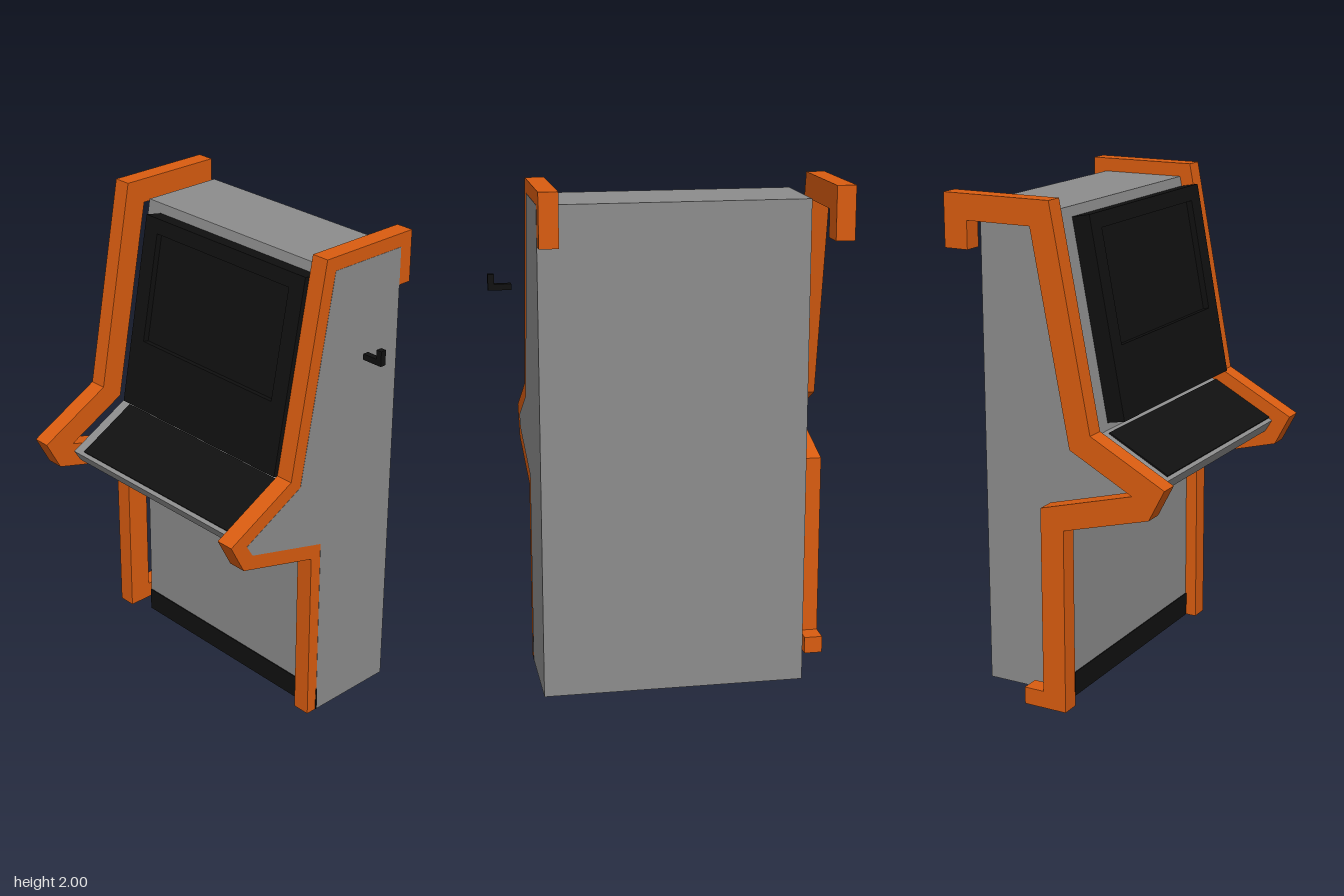
import * as THREE from 'three';

const mat = (name, color) => {
  const m = new THREE.MeshStandardMaterial({ color });
  m.name = name;
  return m;
};

export function createModel() {
  const root = new THREE.Group();
  root.name = 'arcadeCabinet';
  const grey = mat('cabinet grey', 0x8c8c8c);
  const orange = mat('trim orange', 0xd95c10);
  const black = mat('panel black', 0x101010);

  const add = (parent, name, geo, material) => {
    const m = new THREE.Mesh(geo, material);
    m.name = name;
    parent.add(m);
    return m;
  };
  const box = (parent, name, material, x0, x1, y0, y1, z0, z1) => {
    const m = add(parent, name, new THREE.BoxGeometry(x1 - x0, y1 - y0, z1 - z0), material);
    m.position.set((x0 + x1) / 2, (y0 + y1) / 2, (z0 + z1) / 2);
    return m;
  };
  const shapeOf = (pts) => new THREE.Shape(pts.map(([a, b]) => new THREE.Vector2(a, b)));
  // side profile given as (z, y), swept from x0 to x1
  const sweep = (name, material, pts, x0, x1) => {
    const geo = new THREE.ExtrudeGeometry(shapeOf(pts), { depth: x1 - x0, bevelEnabled: false });
    geo.rotateY(-Math.PI / 2).translate(x1, 0, 0);
    return add(root, name, geo, material);
  };
  // group lying on a sloped face: local y runs up the slope, z points outward
  const slope = (name, [z0, y0], [z1, y1]) => {
    const g = new THREE.Group();
    g.name = name;
    g.position.set(0, y0, z0);
    g.rotation.x = -Math.atan2(z0 - z1, y1 - y0);
    root.add(g);
    return g;
  };

  // cabinet body
  const deckFront = [0.385, 0.95], deckBack = [0.105, 1.1], roofFront = [-0.055, 1.945];
  sweep('cabinetBody', grey, [
    [-0.407, 0], [-0.015, 0], [-0.015, 0.8], [0.355, 0.9],
    deckFront, deckBack, roofFront, [-0.407, 1.945],
  ], -0.53, 0.516);

  // bent side rails with top return and foot
  const rail = [
    [0.035, 0], [0.035, 0.75], [0.4, 0.85], [0.465, 0.975], [0.155, 1.14],
    [-0.01, 2], [-0.465, 2], [-0.465, 1.79], [-0.365, 1.79], [-0.365, 1.9],
    [-0.092, 1.9], [0.066, 1.074], [0.33, 0.934], [-0.065, 0.826],
    [-0.065, 0.07], [-0.15, 0.07], [-0.15, 0],
  ];
  sweep('rightRail', orange, rail, -0.685, -0.61);
  sweep('leftRail', orange, rail, 0.44, 0.515);

  // screen bezel with recessed screen
  const display = slope('display', deckBack, roofFront);
  const frame = shapeOf([[-0.455, 0.027], [0.44, 0.027], [0.44, 0.82], [-0.455, 0.82]]);
  frame.holes.push(shapeOf([[-0.38, 0.31], [-0.38, 0.76], [0.365, 0.76], [0.365, 0.31]]));
  add(display, 'bezel', new THREE.ExtrudeGeometry(frame, { depth: 0.075, bevelEnabled: false }), black);
  box(display, 'screen', black, -0.39, 0.375, 0.3, 0.77, 0.02, 0.05);

  // control panel on the sloped deck
  const deck = slope('controlDeck', deckFront, deckBack);
  box(deck, 'controlPanel', black, -0.48, 0.465, 0.017, 0.302, 0, 0.006);

  // kick plate
  box(root, 'kickPlate', black, -0.531, 0.517, 0, 0.1, -0.019, -0.011);

  // small angled handle beside the cabinet
  const handle = new THREE.Group();
  handle.name = 'handle';
  root.add(handle);
  box(handle, 'handleArm', black, 0.59, 0.68, 1.588, 1.612, -0.163, -0.138);
  box(handle, 'handleGrip', black, 0.656, 0.68, 1.612, 1.65, -0.163, -0.138);

  return root;
}
